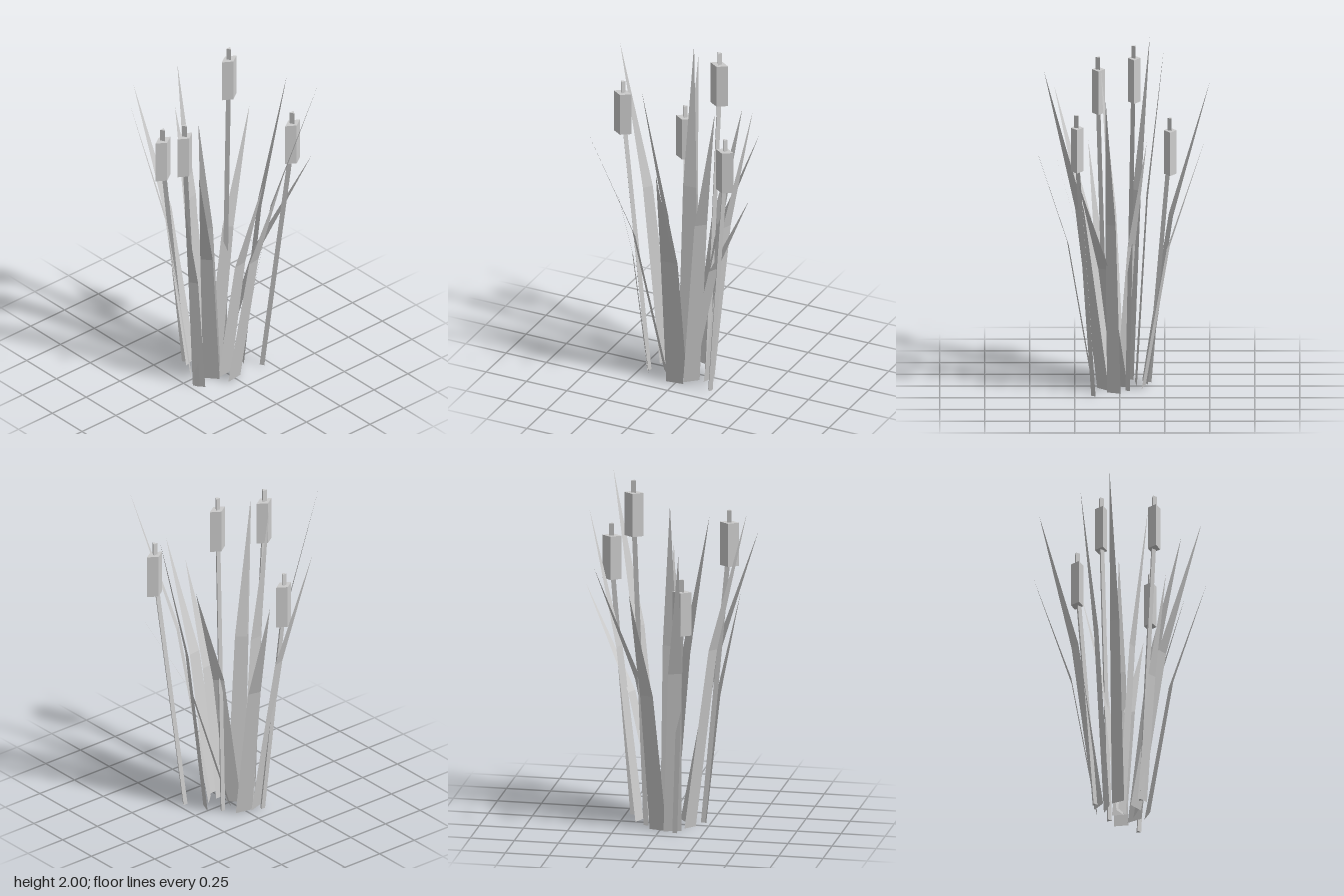
import * as THREE from 'three';

const material = new THREE.MeshStandardMaterial({ color: 0xcccccc, flatShading: true, side: THREE.DoubleSide });

// Flat two-segment leaf: base edge a-b, bent at the middle, ending in a point
function blade([ax, az, bx, bz, tx, ty, tz]) {
  const cx = (ax + bx) / 2, cz = (az + bz) / 2;
  const mx = cx + (tx - cx) * 0.4, mz = cz + (tz - cz) * 0.4, my = ty * 0.56;
  const hx = (bx - ax) * 0.38, hz = (bz - az) * 0.38;
  const geometry = new THREE.BufferGeometry();
  geometry.setAttribute('position', new THREE.Float32BufferAttribute([
    ax, 0, az, bx, 0, bz,
    mx - hx, my, mz - hz, mx + hx, my, mz + hz,
    tx, ty, tz,
  ], 3));
  geometry.setIndex([0, 1, 3, 0, 3, 2, 2, 3, 4]);
  geometry.computeVertexNormals();
  const mesh = new THREE.Mesh(geometry, material);
  mesh.name = 'leafBlade';
  return mesh;
}

// Reed with a leaning three-sided stem and an upright diamond-section seed head
function reed([x, z, height]) {
  const group = new THREE.Group();
  group.name = 'reed';

  const stemGeometry = new THREE.CylinderGeometry(0.016, 0.016, height, 3, 2);
  stemGeometry.translate(0, height / 2, 0);
  const p = stemGeometry.attributes.position;
  const bend = height - 0.2;
  for (let i = 0; i < p.count; i++) {
    // Lean up to the seed head, then go straight up
    const y = p.getY(i) > 0.01 && p.getY(i) < height - 0.01 ? bend : p.getY(i);
    const k = 0.6 + 0.4 * Math.min(y / bend, 1);
    p.setXYZ(i, p.getX(i) + x * k, y, p.getZ(i) + z * k);
  }
  stemGeometry.computeVertexNormals();
  const stem = new THREE.Mesh(stemGeometry, material);
  stem.name = 'stem';

  const head = new THREE.Mesh(new THREE.CylinderGeometry(0.054, 0.054, 0.25, 4), material);
  head.name = 'seedHead';
  head.scale.z = 0.65;
  head.position.set(x, height - 0.195, z);

  group.add(stem, head);
  return group;
}

export function createModel() {
  const model = new THREE.Group();
  model.name = 'reedClump';

  // Reeds: x, z, height
  const reeds = [
    [0.158, -0.08, 2.0],
    [-0.343, 0.118, 1.8],
    [0.348, 0.237, 1.65],
    [-0.155, -0.28, 1.5],
  ];

  // Leaves: base corners (x, z, x, z), then tip (x, y, z)
  const blades = [
    [-0.12, -0.125, -0.025, -0.155, -0.18, 1.7, -0.5],
    [-0.04, -0.145, 0.06, -0.122, 0.105, 1.45, -0.475],
    [-0.1, -0.085, 0.005, -0.095, -0.08, 1.92, -0.245],
    [-0.05, -0.035, 0.01, 0.02, 0.37, 1.5, -0.15],
    [-0.005, 0.035, 0.03, -0.045, 0.495, 1.3, 0.23],
    [0.135, 0.07, 0.165, -0.005, 0.445, 1.78, 0.08],
    [0.035, 0.125, 0.105, 0.06, 0.377, 1.91, 0.42],
    [-0.055, 0.155, 0.045, 0.143, 0.05, 1.48, 0.497],
    [-0.07, 0.085, 0.035, 0.078, 0.015, 1.38, 0.37],
    [-0.13, 0.03, -0.07, 0.1, -0.455, 1.61, 0.365],
    [-0.225, 0.05, -0.185, 0.11, -0.395, 1.31, 0.175],
    [-0.128, -0.077, -0.18, -0.018, -0.5, 1.87, -0.167],
    [-0.07, -0.028, 0, 0.027, -0.232, 1.76, 0.105],
  ];

  reeds.forEach((r) => model.add(reed(r)));
  blades.forEach((b) => model.add(blade(b)));
  return model;
}
